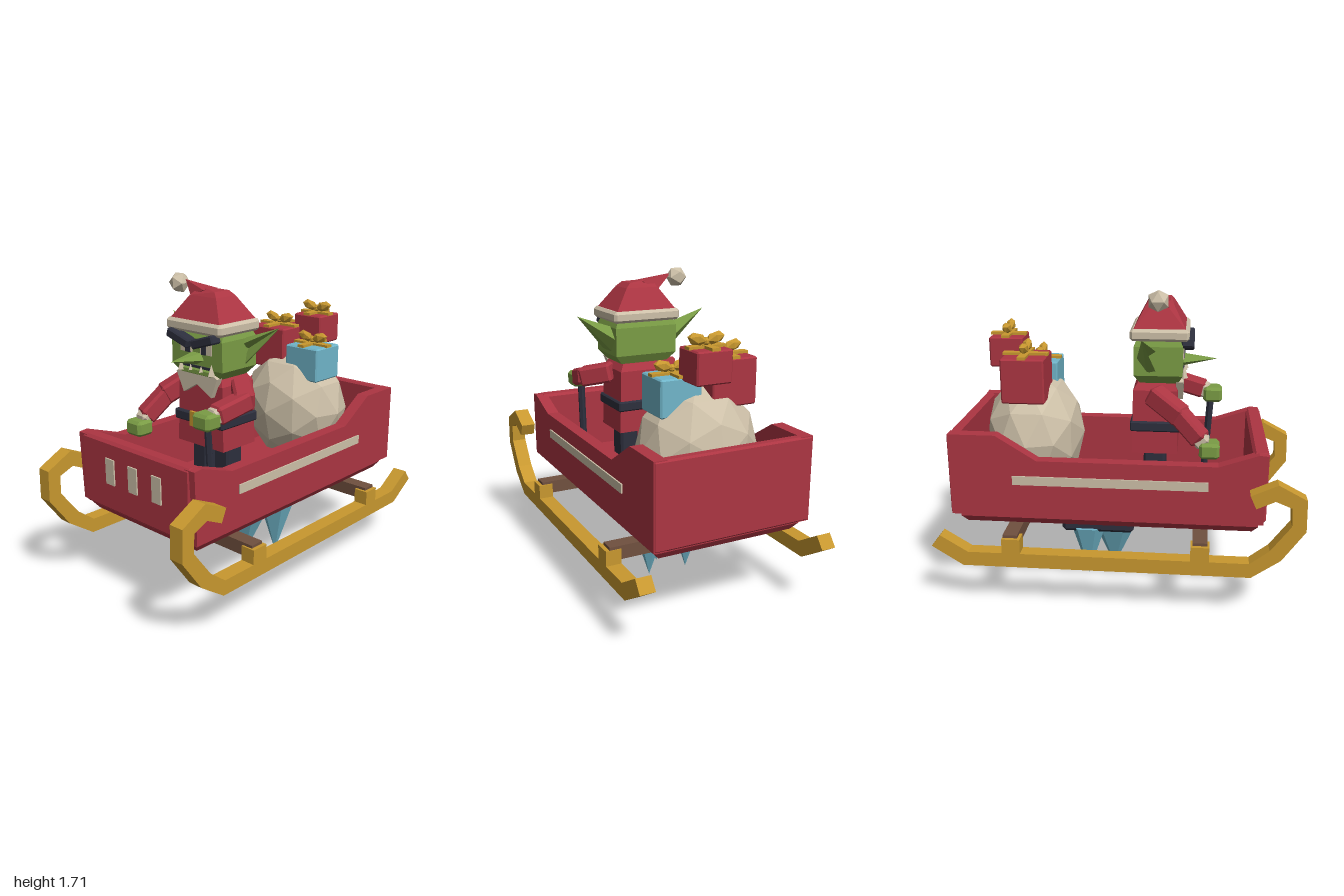
import * as THREE from 'three';
import { ConvexGeometry } from 'three/addons/geometries/ConvexGeometry.js';

const V = (x, y, z) => new THREE.Vector3(x, y, z);
const mat = (name, color) => Object.assign(new THREE.MeshStandardMaterial({ color, flatShading: true }), { name });

export function createModel() {
  const model = new THREE.Group();
  model.name = 'sleigh';
  const red = mat('red', 0xac3542), gold = mat('gold', 0xc8982f), green = mat('green', 0x7a9c45);
  const cream = mat('cream', 0xcdc0a8), dark = mat('charcoal', 0x2d2f3d);
  const brown = mat('brown', 0x70503f), blue = mat('ice blue', 0x70b5c9);

  const add = (name, geometry, material, x = 0, y = 0, z = 0, parent = model) => {
    const m = new THREE.Mesh(geometry, material);
    m.name = name;
    m.position.set(x, y, z);
    parent.add(m);
    return m;
  };
  // Box with chamfered edges
  const chamfer = (w, h, d, c = 0.012) => {
    const p = [];
    for (const i of [-1, 1]) for (const j of [-1, 1]) for (const k of [-1, 1]) {
      const x = i * w / 2, y = j * h / 2, z = k * d / 2;
      p.push(V(x, y - j * c, z - k * c), V(x - i * c, y, z - k * c), V(x - i * c, y - j * c, z));
    }
    return new ConvexGeometry(p);
  };
  const hull = pts => new ConvexGeometry(pts.map(p => V(...p)));
  // Rectangle in the horizontal plane as four corners
  const rect = (x0, x1, y, z0, z1) => [[x0, y, z0], [x1, y, z0], [x1, y, z1], [x0, y, z1]];
  // Side profile of [z, y] points extruded across x
  const profile = (pts, x0, x1) => {
    const shape = new THREE.Shape(pts.map(p => new THREE.Vector2(...p)));
    const g = new THREE.ExtrudeGeometry(shape, { depth: x1 - x0, bevelEnabled: false });
    return g.rotateY(-Math.PI / 2).translate(x1, 0, 0);
  };
  const limb = (name, a, b, w, material, extra = 0.05) => {
    const A = V(...a), B = V(...b);
    const m = add(name, chamfer(w, w, A.distanceTo(B) + extra, 0.014), material);
    m.position.copy(A).add(B).multiplyScalar(0.5);
    m.lookAt(B);
    return m;
  };

  // Sleigh body
  const sidePts = [[-0.91, 0.51], [0.79, 0.51], [0.8, 0.9], [0.75, 0.905], [0.54, 0.833],
    [-0.43, 0.833], [-0.65, 0.97], [-0.91, 0.97]];
  for (const s of [-1, 1]) {
    add('sidePanel', s > 0 ? profile(sidePts, 0.38, 0.45) : profile(sidePts, -0.45, -0.38), red);
    add('sideStripe', new THREE.BoxGeometry(0.009, 0.05, 1.055), cream, s * 0.454, 0.72, -0.037);
  }
  add('frontPanel', chamfer(0.84, 0.4, 0.085, 0.015), red, 0, 0.705, 0.763);
  add('backPanel', chamfer(0.9, 0.46, 0.055, 0.01), red, 0, 0.74, -0.888);
  add('floor', hull([...rect(-0.42, 0.42, 0.53, -0.87, 0.765), ...rect(-0.42, 0.42, 0.485, -0.87, 0.765),
    ...rect(-0.39, 0.39, 0.445, -0.84, 0.735)]), red);
  for (const x of [-0.183, 0, 0.183])
    add('frontStripe', new THREE.BoxGeometry(0.068, 0.145, 0.009), cream, x, 0.737, 0.809);

  // Runners, posts and crossbeams
  const runnerPts = [[-0.95, 0.43], [-1, 0.365], [-0.83, 0.257], [0.727, 0.257], [0.88, 0.365], [1, 0.536],
    [0.995, 0.71], [0.845, 0.79], [0.705, 0.725], [0.737, 0.654], [0.834, 0.7], [0.92, 0.665],
    [0.925, 0.563], [0.818, 0.418], [0.716, 0.338], [-0.8, 0.338]];
  for (const x of [-0.567, 0.483]) {
    add('runner', profile(runnerPts, x, x + 0.084), gold);
    for (const z of [0.455, -0.563]) add('runnerPost', new THREE.BoxGeometry(0.084, 0.1, 0.1), gold, x + 0.042, 0.37, z);
  }
  for (const z of [0.455, -0.57]) add('crossbeam', new THREE.BoxGeometry(1.09, 0.075, 0.08), brown, 0, 0.398, z);

  // Ice thruster
  add('thrusterPlate', chamfer(0.38, 0.085, 0.418, 0.02), dark, 0, 0.343, -0.137);
  for (const [x, z, r] of [[0, -0.057, 0.15], [-0.12, -0.2, 0.105], [0.12, -0.2, 0.105]])
    add('icicle', new THREE.ConeGeometry(r, 0.32, 6).rotateX(Math.PI), blue, x, 0.165, z);

  // Sack and gifts
  add('sack', new THREE.IcosahedronGeometry(1, 1).scale(0.335, 0.345, 0.285), cream, 0, 0.865, -0.515);
  const gift = (x, y, z, w, h, d, material) => {
    const g = new THREE.Group();
    g.name = 'gift';
    g.position.set(x, y, z);
    model.add(g);
    add('giftBox', chamfer(w, h, d, 0.008), material, 0, 0, 0, g);
    add('ribbon', new THREE.BoxGeometry(0.045, 0.016, d + 0.012), gold, 0, h / 2 + 0.006, 0, g);
    add('ribbon', new THREE.BoxGeometry(w + 0.012, 0.016, 0.045), gold, 0, h / 2 + 0.005, 0, g);
    for (const s of [-1, 1]) {
      const loop = add('bowLoop', new THREE.IcosahedronGeometry(1, 0).scale(0.055, 0.032, 0.027), gold, s * 0.052, h / 2 + 0.045, 0, g);
      loop.rotation.z = s * 0.25;
    }
    add('bowKnot', chamfer(0.035, 0.04, 0.035), gold, 0, h / 2 + 0.03, 0, g);
  };
  gift(-0.145, 1.22, -0.53, 0.26, 0.25, 0.24, red);
  gift(0.04, 1.335, -0.663, 0.2, 0.17, 0.19, red);
  gift(0.14, 1.165, -0.498, 0.235, 0.2, 0.22, blue);

  // Driver: legs, coat, belt
  for (const s of [-1, 1]) {
    add('leg', chamfer(0.11, 0.32, 0.12), dark, s * 0.085, 0.69, 0.185);
    add('boot', chamfer(0.12, 0.08, 0.18), dark, s * 0.085, 0.57, 0.205);
  }
  add('coat', hull([...rect(-0.175, 0.175, 0.8, 0.06, 0.315), ...rect(-0.165, 0.165, 1.16, 0.065, 0.31),
    ...rect(-0.14, 0.14, 1.2, 0.09, 0.29)]), red);
  add('belt', chamfer(0.37, 0.058, 0.285, 0.008), dark, 0, 0.957, 0.192);
  for (const s of [-1, 1]) {
    add('buckleSide', new THREE.BoxGeometry(0.026, 0.08, 0.016), gold, s * 0.038, 0.956, 0.34);
    add('buckleBar', new THREE.BoxGeometry(0.102, 0.024, 0.016), gold, 0, 0.956 + s * 0.03, 0.34);
  }
  const collar = new THREE.Shape([[-0.155, 1.21], [-0.1, 1.1], [0, 1.16], [0.11, 1.1], [0.155, 1.21],
    [0.1, 1.235], [-0.1, 1.235]].map(p => new THREE.Vector2(...p)));
  add('collar', new THREE.ExtrudeGeometry(collar, { depth: 0.04, bevelEnabled: false }), cream, 0, 0, 0.3);

  // Arms, hands and steering lever
  const arm = (shoulder, elbow, wrist, hand) => {
    limb('upperArm', shoulder, elbow, 0.11, red);
    limb('forearm', elbow, wrist, 0.1, red);
    const cuffEnd = V(...wrist).lerp(V(...hand), 0.5).toArray();
    limb('cuff', wrist, cuffEnd, 0.085, cream, 0.02);
    add('hand', chamfer(0.12, 0.088, 0.11, 0.016), green, ...hand);
  };
  arm([0.19, 1.14, 0.19], [0.295, 1.11, 0.28], [0.265, 1.07, 0.44], [0.245, 1.045, 0.51]);
  arm([-0.19, 1.14, 0.19], [-0.26, 1.06, 0.32], [-0.305, 0.95, 0.43], [-0.31, 0.885, 0.49]);
  limb('lever', [0.24, 1.04, 0.5], [0.24, 0.54, 0.47], 0.04, dark, 0);

  // Head and face
  add('head', hull([...rect(-0.145, 0.145, 1.2, 0.1, 0.31), ...rect(-0.19, 0.19, 1.25, 0.07, 0.335),
    ...rect(-0.19, 0.19, 1.41, 0.07, 0.335), ...rect(-0.17, 0.17, 1.46, 0.09, 0.31)]), green);
  add('nose', hull([[-0.035, 1.335, 0.32], [0.035, 1.335, 0.32], [-0.058, 1.295, 0.32], [0.058, 1.295, 0.32],
    [0, 1.265, 0.32], [0, 1.312, 0.523]]), green);
  add('lowerLip', chamfer(0.25, 0.045, 0.05), green, 0, 1.228, 0.318);
  add('mouth', new THREE.BoxGeometry(0.23, 0.014, 0.008), dark, 0, 1.256, 0.336);
  for (const s of [-1, 1]) {
    add('eye', new THREE.BoxGeometry(0.085, 0.06, 0.008), cream, s * 0.075, 1.36, 0.337);
    add('pupil', new THREE.BoxGeometry(0.036, 0.058, 0.006), dark, s * 0.06, 1.358, 0.341);
    const brow = add('brow', chamfer(0.165, 0.05, 0.07, 0.008), dark, s * 0.093, 1.408, 0.36);
    brow.rotation.z = s * 0.3;
    add('tusk', new THREE.ConeGeometry(0.025, 0.06, 4), cream, s * 0.115, 1.255, 0.34);
    add('tooth', new THREE.ConeGeometry(0.016, 0.035, 4), cream, s * 0.04, 1.25, 0.342);
    // Ear: an upper and a lower wedge leaving a hollow between them
    const tip = [s * 0.4, 1.487, 0.127], mid = [s * 0.18, 1.345, 0.13], back = [s * 0.18, 1.34, 0.085];
    add('earUpper', hull([tip, mid, back, [s * 0.18, 1.41, 0.15], [s * 0.21, 1.39, 0.19]]), green);
    add('earLower', hull([tip, mid, back, [s * 0.18, 1.265, 0.14], [s * 0.22, 1.285, 0.19]]), green);
  }

  // Hat
  add('hatBand', chamfer(0.41, 0.065, 0.32, 0.015), cream, 0, 1.473, 0.208);
  add('hat', hull([...rect(-0.185, 0.185, 1.5, 0.065, 0.35), ...rect(-0.1, 0.095, 1.625, 0.13, 0.28),
    [-0.09, 1.665, 0.205], [0.065, 1.652, 0.15], [0.065, 1.652, 0.26]]), red);
  add('hatTail', hull([[-0.11, 1.605, 0.15], [-0.11, 1.605, 0.26], [-0.02, 1.655, 0.15], [-0.02, 1.655, 0.26],
    [-0.09, 1.668, 0.205], [-0.21, 1.69, 0.205], [-0.21, 1.678, 0.2]]), red);
  add('pompom', new THREE.IcosahedronGeometry(0.061, 0), cream, -0.26, 1.668, 0.203);
  return model;
}
